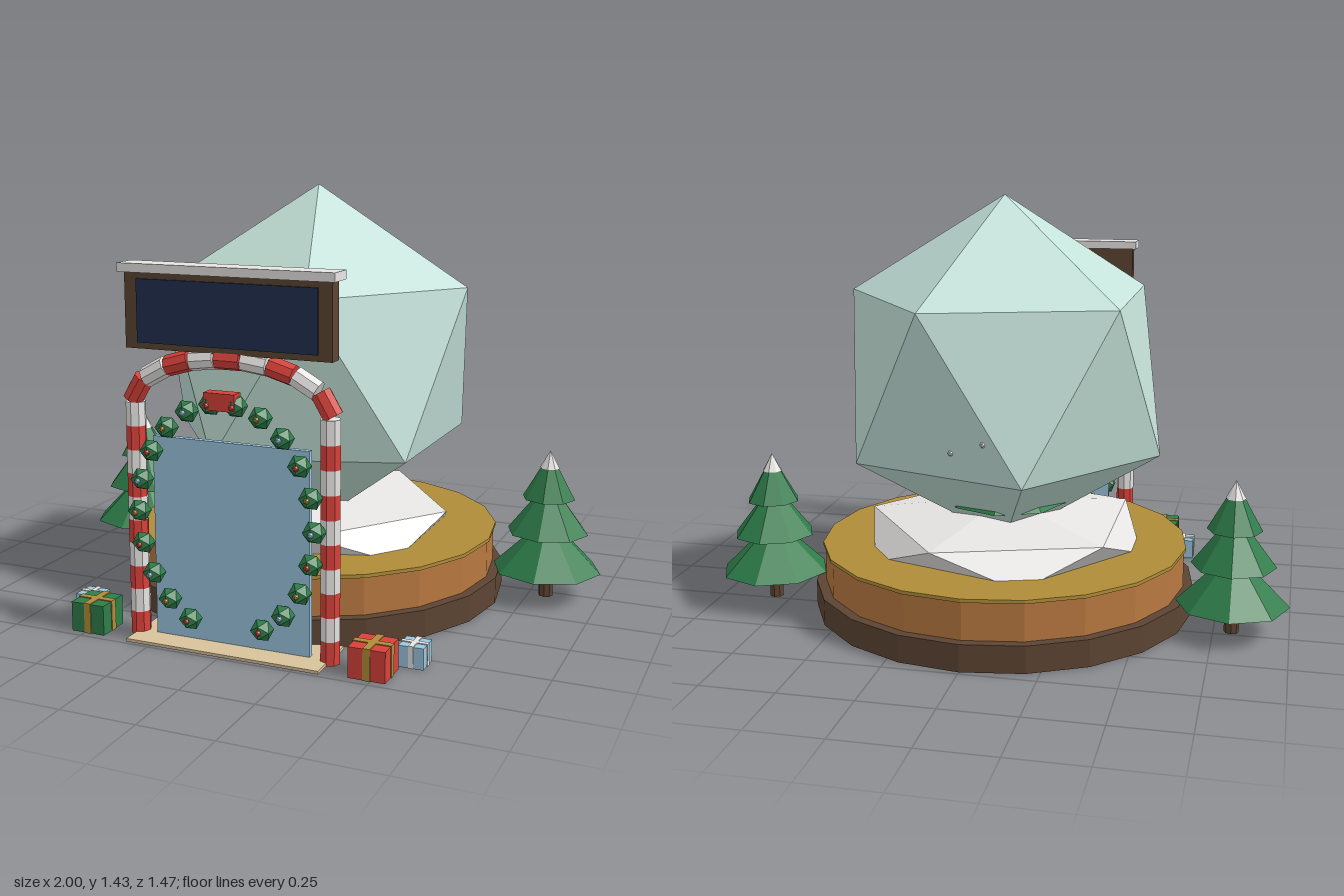
import * as THREE from 'three';

const mat = (name, color) => {
  const m = new THREE.MeshStandardMaterial({ color, flatShading: true });
  m.name = name;
  return m;
};

export function createModel() {
  const glass = mat('pale glass', 0xc4e2d9);
  const snow = mat('snow white', 0xeeecea);
  const copper = mat('copper wood', 0xb87840);
  const gold = mat('gold', 0xb08c38);
  const brown = mat('dark brown', 0x5c4432);
  const red = mat('red', 0xd8413a);
  const green = mat('fir green', 0x2e7d4a);
  const blue = mat('light blue', 0x9cc6e0);
  const navy = mat('navy', 0x232e50);
  const beige = mat('beige plank', 0xd8c29c);

  const root = new THREE.Group();
  root.name = 'snowGlobeScene';
  const add = (name, geo, material, x, y, z, parent = root) => {
    const m = new THREE.Mesh(geo, material);
    m.name = name;
    m.position.set(x, y, z);
    parent.add(m);
    return m;
  };
  const group = (name, x, y, z) => {
    const g = new THREE.Group();
    g.name = name;
    g.position.set(x, y, z);
    root.add(g);
    return g;
  };
  const box = (w, h, d) => new THREE.BoxGeometry(w, h, d);
  const cyl = (r, h, n) => new THREE.CylinderGeometry(r, r, h, n);
  // icosahedron standing on a corner
  const ico = r => new THREE.IcosahedronGeometry(r, 0)
    .rotateX(-Math.atan((1 + Math.sqrt(5)) / 2)).rotateY(Math.PI / 2);

  // round base
  const Z = -0.07;
  add('baseFoot', cyl(0.667, 0.092, 20), brown, 0, 0.046, Z);
  add('baseDrum', cyl(0.633, 0.128, 20), copper, 0, 0.156, Z);
  add('baseTop', cyl(0.64, 0.012, 20), gold, 0, 0.225, Z);

  // snow mound and globe
  add('snowMound', ico(0.542).scale(1, 0.222, 1), snow, 0, 0.256, Z);
  add('globe', ico(0.607), glass, 0, 0.827, Z);
  add('innerTree', new THREE.ConeGeometry(0.21, 0.26, 8), green, -0.02, 0.515, -0.12);
  for (const [x, y, z] of [[-0.04, 0.69, -0.572], [0.076, 0.645, -0.525]])
    add('snowflake', new THREE.IcosahedronGeometry(0.01, 0), snow, x, y, z);

  // fir trees
  for (const s of [-1, 1]) {
    const tree = group(s > 0 ? 'leftTree' : 'rightTree', s * 0.81, 0, -0.22);
    add('trunk', cyl(0.025, 0.12, 8), brown, 0, 0.06, 0, tree);
    for (const [r, y, top] of [[0.19, 0.1, 0.288], [0.142, 0.235, 0.42], [0.092, 0.357, 0.52]])
      add('foliage', new THREE.ConeGeometry(r, top - y, 8), green, 0, (y + top) / 2, 0, tree);
    add('snowTip', new THREE.ConeGeometry(0.034, 0.062, 8), snow, 0, 0.496, 0, tree);
  }

  // doorway
  const doorZ = 0.637;
  add('doorstep', box(0.67, 0.01, 0.215), beige, 0, 0.005, 0.628);
  add('door', box(0.54, 0.66, 0.02), blue, 0, 0.34, doorZ);

  // striped posts and arch
  const stripe = 0.0775;
  for (const s of [-1, 1])
    for (let i = 0; i < 10; i++)
      add('postStripe', cyl(0.033, stripe, 8), i % 2 ? snow : red, s * 0.335, (i + 0.5) * stripe, doorZ);
  const arch = new THREE.EllipseCurve(0, 0.775, 0.335, 0.157, 0, Math.PI);
  for (let i = 0; i < 9; i++) {
    const u = (i + 0.5) / 9, p = arch.getPointAt(u), t = arch.getTangentAt(u);
    add('archStripe', cyl(0.034, 0.084, 8), i % 2 ? snow : red, p.x, p.y, doorZ)
      .rotation.z = Math.atan2(t.y, t.x) - Math.PI / 2;
  }

  // garland with baubles, open at the bottom
  const baubles = [red, gold, blue];
  for (let i = 0; i < 22; i++) {
    const a = (i + 0.5) / 22 * Math.PI * 2;
    if (Math.cos(a) < -0.95) continue;
    const x = 0.302 * Math.sin(a), y = 0.43 + 0.372 * Math.cos(a);
    add('garlandTuft', new THREE.IcosahedronGeometry(0.038, 0), green, x, y, 0.685);
    add('bauble', new THREE.IcosahedronGeometry(0.011, 0), baubles[i % 3], x, y, 0.715);
  }
  add('bow', box(0.105, 0.055, 0.045), red, 0, 0.812, 0.693);

  // sign board
  add('signBoard', box(0.7, 0.24, 0.05), brown, 0, 1.07, doorZ);
  add('signPanel', box(0.61, 0.2, 0.008), navy, 0, 1.07, doorZ + 0.029);
  add('signSnowCap', box(0.73, 0.028, 0.09), snow, 0, 1.204, doorZ);

  // gifts
  const gift = (name, x, z, w, h, paper, ribbon) => {
    const g = group(name, x, 0, z);
    add('giftBox', box(w, h, w), paper, 0, h / 2, 0, g);
    add('ribbonAcross', box(w + 0.006, h + 0.003, w * 0.2), ribbon, 0, h / 2 + 0.0015, 0, g);
    add('ribbonAlong', box(w * 0.2, h + 0.003, w + 0.006), ribbon, 0, h / 2 + 0.0015, 0, g);
  };
  gift('redGift', 0.487, 0.663, 0.12, 0.1, red, gold);
  gift('greenGift', -0.487, 0.663, 0.12, 0.1, green, gold);
  for (const s of [-1, 1]) gift('smallGift', s * 0.58, 0.542, 0.082, 0.07, blue, snow);

  return root;
}
